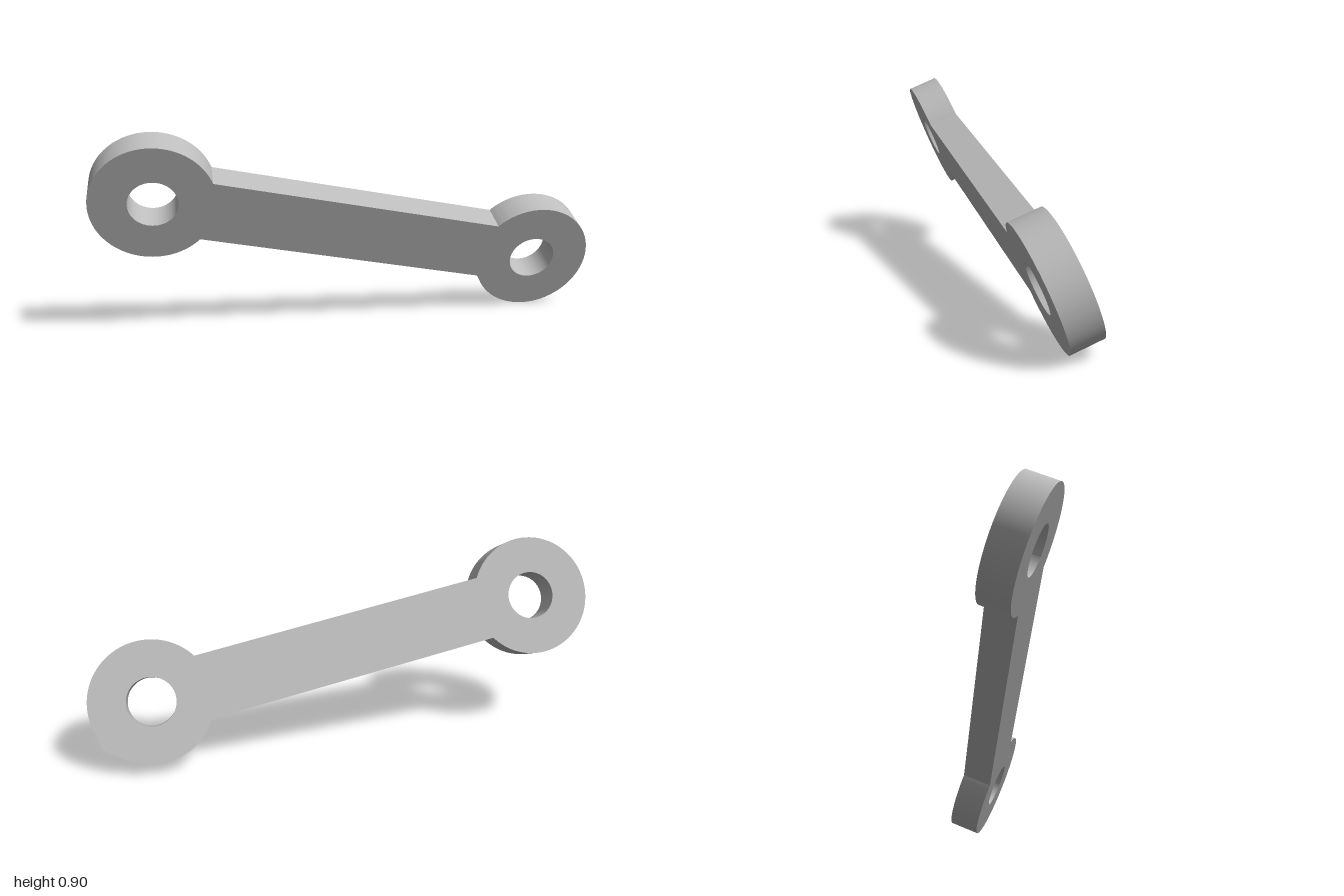
import * as THREE from 'three';
import { toCreasedNormals } from 'three/addons/utils/BufferGeometryUtils.js';

export function createModel() {
  const group = new THREE.Group();
  group.name = 'linkArm';
  const steel = new THREE.MeshStandardMaterial({ color: 0xbcbcbc });
  steel.name = 'steel grey';

  const radius = 0.272, bore = 0.108, halfWidth = 0.144, depth = 0.143;
  const leftEnd = new THREE.Vector3(-0.727, 0.617, 0.506);
  const rightEnd = new THREE.Vector3(0.727, 0.278, -0.506);
  const half = leftEnd.distanceTo(rightEnd) / 2;

  // Flat outline: two round eyes joined by a straight bar
  const a = Math.asin(halfWidth / radius);
  const outline = new THREE.Shape();
  outline.absarc(-half, 0, radius, a, 2 * Math.PI - a, false);
  outline.absarc(half, 0, radius, Math.PI + a, 3 * Math.PI - a, false);
  outline.closePath();

  // Bore through each eye
  for (const x of [-half, half]) {
    const hole = new THREE.Path();
    hole.absarc(x, 0, bore, 0, 2 * Math.PI, true);
    outline.holes.push(hole);
  }

  const geometry = new THREE.ExtrudeGeometry(outline, { depth, bevelEnabled: false, curveSegments: 64 });
  geometry.translate(0, 0, -depth / 2);
  const link = new THREE.Mesh(toCreasedNormals(geometry, 0.4), steel);
  link.name = 'connectingLink';

  // Tilt the link so its ends meet both eye centres
  const along = rightEnd.clone().sub(leftEnd).normalize();
  const facing = new THREE.Vector3(0.4545, -0.385, 0.804);
  const across = facing.cross(along).normalize();
  const normal = along.clone().cross(across);
  link.quaternion.setFromRotationMatrix(new THREE.Matrix4().makeBasis(along, across, normal));
  link.position.copy(leftEnd).add(rightEnd).multiplyScalar(0.5);
  group.add(link);
  return group;
}
